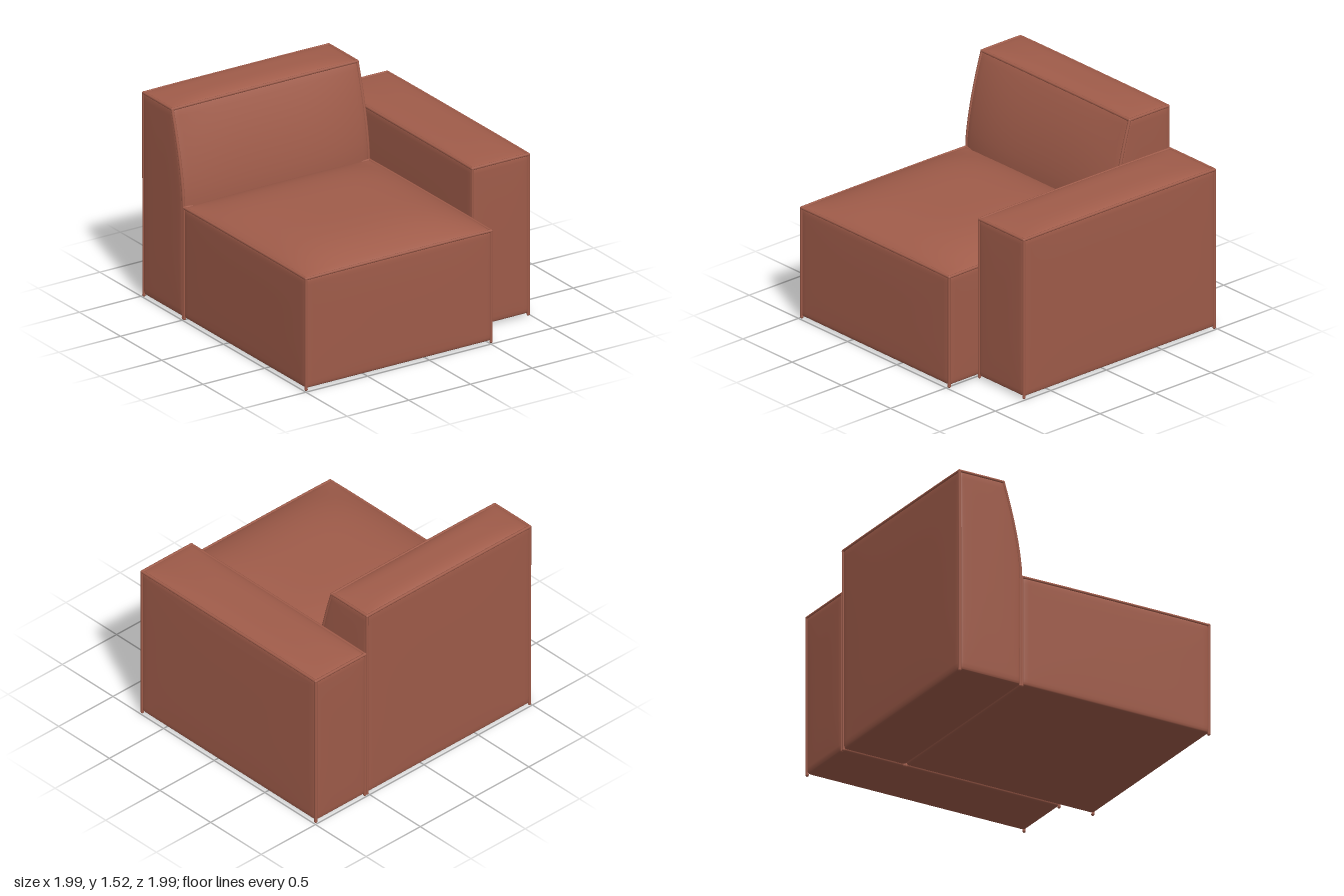
import * as THREE from 'three';
import { mergeVertices } from 'three/addons/utils/BufferGeometryUtils.js';

const PIPE = 0.011;   // piping radius
const ROUND = 0.025;  // softened block edges

// One upholstered block: min/max corners, bulge per face, optional extra warp
function makeCushion(name, material, { min, max, top, front, side, warp }) {
  const group = new THREE.Group();
  group.name = name;
  const lo = new THREE.Vector3(...min), hi = new THREE.Vector3(...max);
  const centre = lo.clone().add(hi).multiplyScalar(0.5);
  const half = hi.clone().sub(lo).multiplyScalar(0.5);
  const fall = (s) => Math.max(0, 1 - s ** 4);

  // Swell each face outward, fading to nothing at its edges
  const puff = (p) => {
    const s = p.clone().divide(half);
    p.x += side * s.x * fall(s.y) * fall(s.z);
    p.y += top * Math.max(0, s.y) * fall(s.x) * fall(s.z);
    p.z += (s.z > 0 ? front : side) * s.z * fall(s.x) * fall(s.y);
    p.add(centre);
    if (warp) warp(p);
    return p;
  };

  // Stuffed body, with grid lines crowded toward the edges for rounding
  let body = new THREE.BoxGeometry(2, 2, 2, 24, 24, 24);
  body.deleteAttribute('uv');
  body.deleteAttribute('normal');
  body = mergeVertices(body);
  const pos = body.attributes.position;
  const inner = half.clone().subScalar(ROUND);
  const p = new THREE.Vector3();
  const crowd = (v) => Math.sin(v * Math.PI / 2);
  for (let i = 0; i < pos.count; i++) {
    p.fromBufferAttribute(pos, i);
    p.set(crowd(p.x), crowd(p.y), crowd(p.z)).multiply(half);
    const q = p.clone().clamp(inner.clone().negate(), inner);
    p.sub(q).setLength(ROUND).add(q);
    puff(p);
    pos.setXYZ(i, p.x, p.y, p.z);
  }
  body.computeVertexNormals();
  const bodyMesh = new THREE.Mesh(body, material);
  bodyMesh.name = name + 'Body';
  group.add(bodyMesh);

  // Piping along the upright and top edges
  const e = half.clone().subScalar(0.006);
  const addPiping = (a, b) => {
    const points = [];
    for (let i = 0; i <= 12; i++) points.push(puff(a.clone().lerp(b, i / 12)));
    const curve = new THREE.CatmullRomCurve3(points);
    const tube = new THREE.Mesh(new THREE.TubeGeometry(curve, 24, PIPE, 8), material);
    tube.name = 'piping';
    group.add(tube);
    for (const end of [points[0], points[12]]) {
      const knot = new THREE.Mesh(new THREE.SphereGeometry(PIPE * 1.1, 8, 6), material);
      knot.name = 'pipingCorner';
      knot.position.copy(end);
      group.add(knot);
    }
  };
  const corners = [[-1, 1], [1, 1], [1, -1], [-1, -1]];
  corners.forEach(([x, z], i) => {
    const [nx, nz] = corners[(i + 1) % 4];
    const upper = new THREE.Vector3(x * e.x, e.y, z * e.z);
    addPiping(new THREE.Vector3(x * e.x, PIPE * 1.1 - centre.y, z * e.z), upper);
    addPiping(upper, new THREE.Vector3(nx * e.x, e.y, nz * e.z));
  });
  return group;
}

export function createModel() {
  const model = new THREE.Group();
  model.name = 'armchairSection';
  const fabric = new THREE.MeshStandardMaterial({ color: 0xa05c4a });
  fabric.name = 'terracottaFabric';

  // Deep seat block with a crowned top
  model.add(makeCushion('seat', fabric, {
    min: [-0.992, 0.015, -0.5], max: [0.518, 0.825, 0.988],
    top: 0.11, front: 0.005, side: 0.004,
  }));

  // Backrest down to the floor, its upper front leaning backward
  model.add(makeCushion('backrest', fabric, {
    min: [-0.992, 0.015, -0.992], max: [0.518, 1.495, -0.5],
    top: 0.03, front: 0.045, side: 0.005,
    warp: (p) => {
      const t = Math.max(0, (p.y - 0.83) / 0.665);
      p.z -= 0.14 * t ** 1.5 * (p.z + 0.992) / 0.492;
    },
  }));

  // Single arm on the model's left
  model.add(makeCushion('arm', fabric, {
    min: [0.526, 0.015, -0.992], max: [0.99, 1.185, 0.733],
    top: 0.03, front: 0.005, side: 0.005,
  }));
  return model;
}
